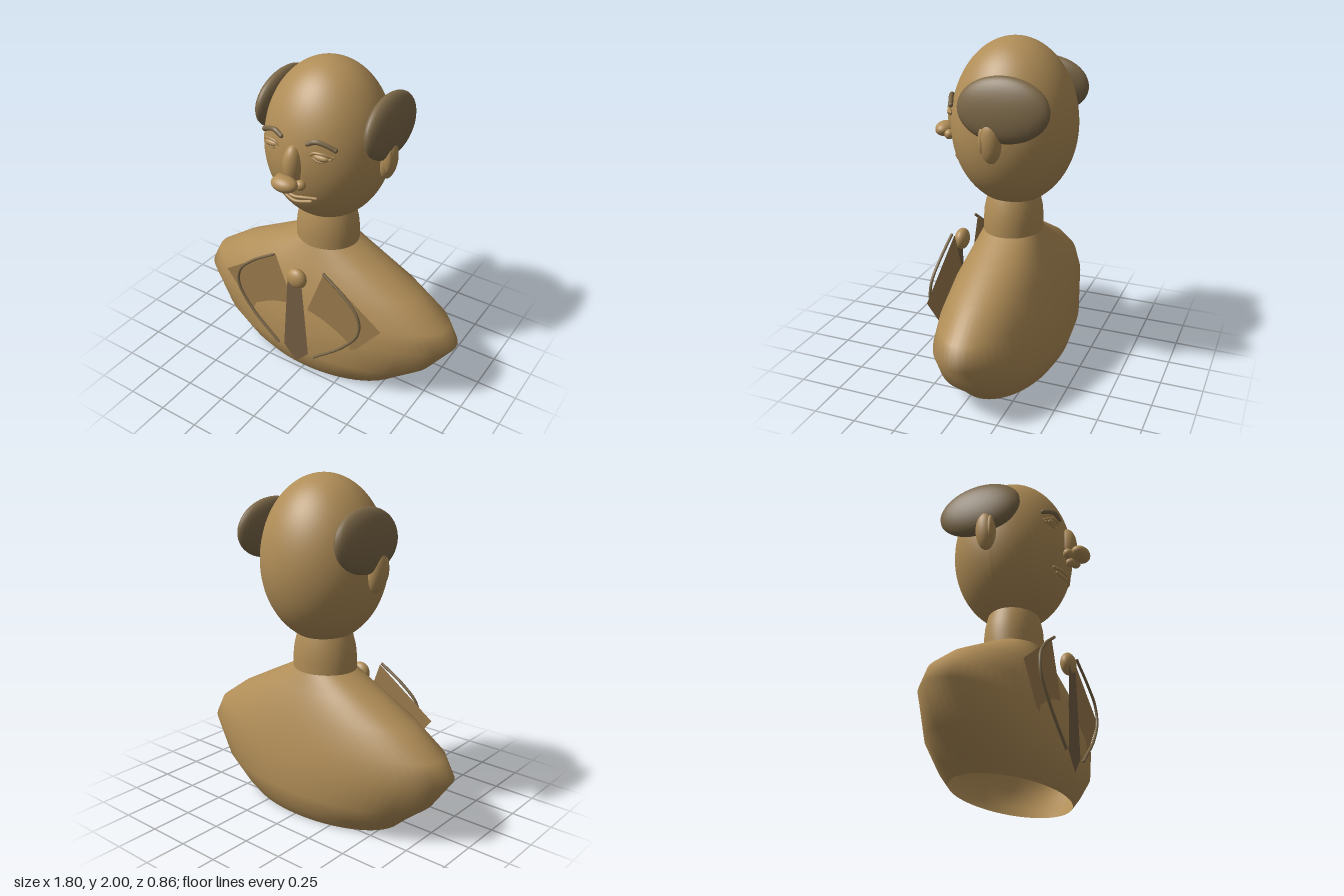
import * as THREE from 'three';
import { mergeVertices } from 'three/addons/utils/BufferGeometryUtils.js';

const mat = (name, color, side = THREE.FrontSide) => {
  const m = new THREE.MeshStandardMaterial({ color, side });
  m.name = name;
  return m;
};

export function createModel() {
  const bronze = mat('bronze', 0xb08d57);
  const bronzeShell = mat('bronzeShell', 0xb08d57, THREE.DoubleSide);
  const hairColor = mat('darkBronze', 0x7c6848);
  const lapelColor = mat('lapelBronze', 0x9c7d4e, THREE.DoubleSide);
  const tieColor = mat('tieBronze', 0x755f45, THREE.DoubleSide);
  const model = new THREE.Group();
  model.name = 'bust';

  const add = (name, geometry, material) => {
    const mesh = new THREE.Mesh(geometry, material);
    mesh.name = name;
    model.add(mesh);
    return mesh;
  };
  const blob = (name, pos, size, material = bronze) => {
    const mesh = add(name, new THREE.SphereGeometry(1, 32, 24), material);
    mesh.position.set(...pos);
    mesh.scale.set(...size);
    return mesh;
  };
  const tube = (name, points, radius, material) => {
    const curve = new THREE.CatmullRomCurve3(points.map(p => new THREE.Vector3(...p)));
    const mesh = add(name, new THREE.TubeGeometry(curve, 32, radius, 8), material);
    // rounded ends
    for (const p of [points[0], points[points.length - 1]]) blob(name + 'End', p, [radius, radius, radius], material);
    return mesh;
  };
  const plate = (name, points, z, material) => {
    const shape = new THREE.Shape(points.map(p => new THREE.Vector2(...p)));
    add(name, new THREE.ShapeGeometry(shape), material).position.z = z;
  };

  // Oval body of rings: [y, half width, half depth]
  const ovalBody = (name, rings, material) => {
    const geo = new THREE.LatheGeometry(rings.map(r => new THREE.Vector2(r[1], r[0])), 64, Math.PI);
    const p = geo.attributes.position;
    for (let i = 0; i < p.count; i++) {
      const ring = rings[i % rings.length];
      p.setZ(i, p.getZ(i) * ring[2] / ring[1]);
    }
    geo.deleteAttribute('normal');
    geo.deleteAttribute('uv');
    const smooth = mergeVertices(geo, 1e-5);
    smooth.computeVertexNormals();
    add(name, smooth, material).position.z = -0.06;
  };
  ovalBody('torso', [
    [0, 0.545, 0.28], [0.07, 0.62, 0.325], [0.19, 0.765, 0.36], [0.38, 0.9, 0.335],
    [0.5, 0.84, 0.31], [0.64, 0.64, 0.272], [0.76, 0.41, 0.222], [0.87, 0.195, 0.172]
  ], bronzeShell);
  ovalBody('neck', [
    [0.865, 0.198, 0.174], [0.93, 0.199, 0.174], [1.0, 0.19, 0.17], [1.07, 0.172, 0.155], [1.12, 0.15, 0.14]
  ], bronzeShell);

  // Head, slightly shorter below its widest line
  const head = new THREE.SphereGeometry(1, 64, 48);
  const hp = head.attributes.position;
  for (let i = 0; i < hp.count; i++) {
    const y = hp.getY(i);
    hp.setXYZ(i, hp.getX(i) * 0.37, 1.5 + y * (y > 0 ? 0.5 : 0.465), hp.getZ(i) * 0.365 - 0.065);
  }
  head.computeVertexNormals();
  add('head', head, bronze);

  // Nose
  blob('noseBridge', [0, 1.505, 0.29], [0.055, 0.12, 0.062]);
  blob('noseTip', [0, 1.43, 0.375], [0.08, 0.045, 0.056]);
  blob('noseBase', [0, 1.39, 0.31], [0.03, 0.028, 0.03]);

  // Mouth
  tube('upperLip', [[-0.12, 1.312, 0.25], [-0.05, 1.312, 0.277], [0, 1.306, 0.283],
    [0.05, 1.312, 0.277], [0.12, 1.312, 0.25]], 0.009, bronze);
  tube('lowerLip', [[-0.09, 1.288, 0.257], [0, 1.276, 0.28], [0.09, 1.288, 0.257]], 0.009, bronze);

  for (const s of [-1, 1]) {
    const side = s > 0 ? 'left' : 'right';
    const mx = pts => pts.map(([x, ...rest]) => [s * x, ...rest]);

    // Face details
    blob(side + 'Nostril', [s * 0.065, 1.415, 0.32], [0.032, 0.03, 0.03]);
    blob(side + 'Eye', [s * 0.155, 1.583, 0.258], [0.05, 0.02, 0.022]);
    tube(side + 'UpperLid', mx([[0.095, 1.585, 0.273], [0.125, 1.609, 0.277],
      [0.175, 1.61, 0.267], [0.22, 1.587, 0.235]]), 0.008, bronze);
    tube(side + 'LowerLid', mx([[0.105, 1.578, 0.272], [0.155, 1.562, 0.268], [0.21, 1.578, 0.24]]), 0.007, bronze);
    tube(side + 'Brow', mx([[0.085, 1.652, 0.275], [0.13, 1.672, 0.268],
      [0.18, 1.66, 0.25], [0.23, 1.635, 0.23]]), 0.014, hairColor);

    // Ears and side hair
    const ear = blob(side + 'Ear', [s * 0.385, 1.49, -0.07], [0.05, 0.12, 0.062]);
    ear.rotation.z = -s * 0.1;
    blob(side + 'InnerEar', [s * 0.4, 1.505, -0.03], [0.03, 0.078, 0.022]);
    const hair = blob(side + 'Hair', [s * 0.355, 1.667, -0.13], [0.07, 0.18, 0.264], hairColor);
    hair.rotation.z = s * 0.1;

    // Jacket lapel and its raised edge
    plate(side + 'Lapel', mx([[0.175, 0.83], [0.56, 0.56], [0.4, 0.355], [0.1, 0.15], [0.055, 0.51]]), 0.25, lapelColor);
    tube(side + 'LapelEdge', mx([[0.18, 0.83, 0.267], [0.33, 0.73, 0.275], [0.425, 0.63, 0.285],
      [0.435, 0.52, 0.292], [0.34, 0.38, 0.3], [0.135, 0.2, 0.306]]), 0.009, hairColor);
  }

  // Tie
  blob('tieKnot', [0, 0.735, 0.28], [0.066, 0.066, 0.043]);
  plate('tie', [[-0.05, 0.72], [-0.09, 0.2], [0, 0.1], [0.09, 0.2], [0.05, 0.72]], 0.304, tieColor);

  return model;
}
